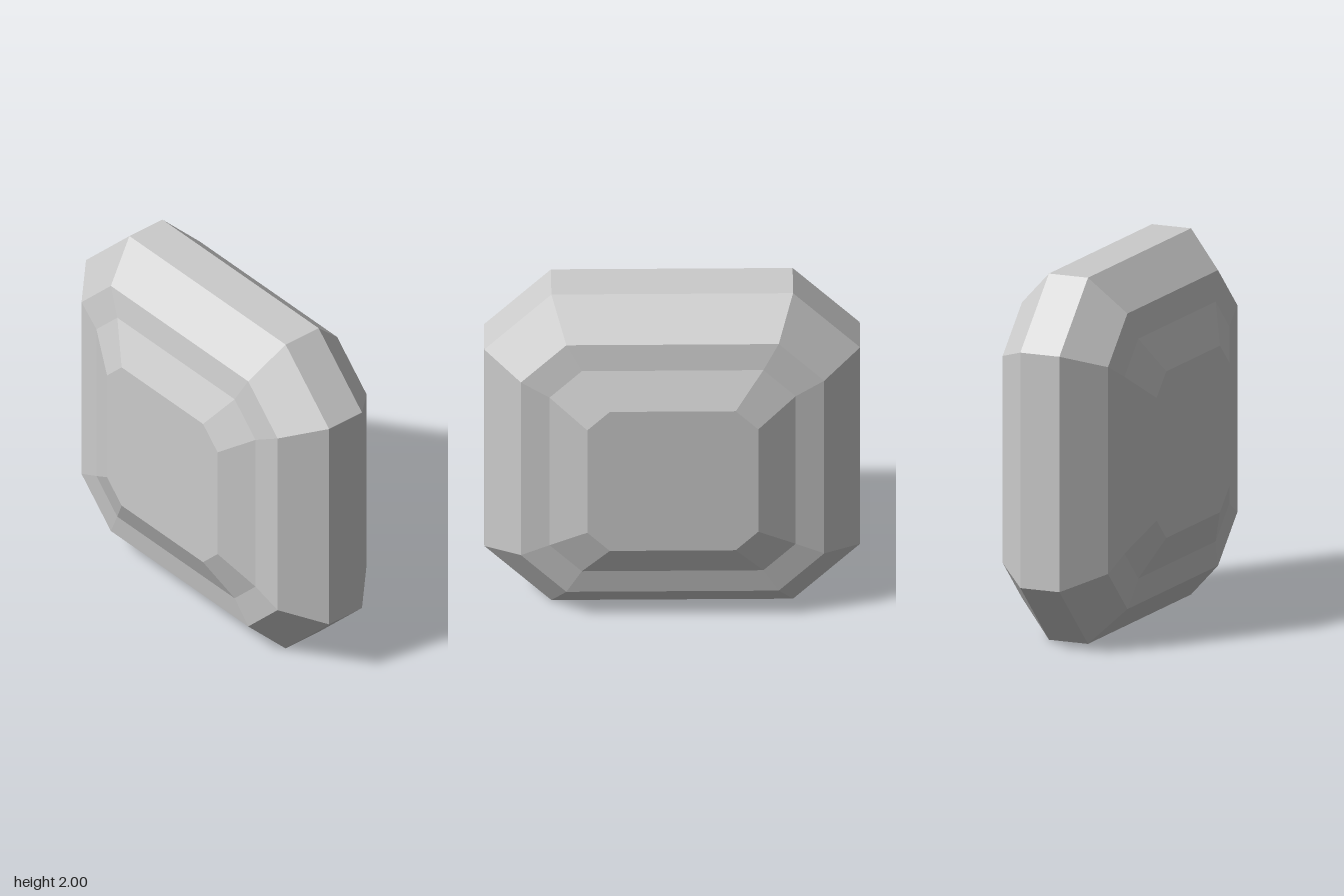
import * as THREE from 'three';

// Octagon with cut corners, counter-clockwise seen from +z: half width, half flat length, depth
function octagon([w, f, z]) {
  return [[w, -f], [w, f], [f, w], [-f, w], [-w, f], [-w, -f], [-f, -w], [f, -w]]
    .map(([x, y]) => [x, y + 1, z]);
}

// Band of facets from a rear octagon to the next one forward
function band(rear, front) {
  const a = octagon(rear), b = octagon(front), out = [];
  for (let i = 0; i < 8; i++) {
    const j = (i + 1) % 8;
    out.push(...a[i], ...a[j], ...b[j], ...a[i], ...b[j], ...b[i]);
  }
  return out;
}

// Flat octagonal face, looking forward or backward
function cap(ring, forward) {
  const p = octagon(ring), out = [];
  for (let i = 1; i < 7; i++) {
    out.push(...p[0], ...(forward ? p[i] : p[i + 1]), ...(forward ? p[i + 1] : p[i]));
  }
  return out;
}

export function createModel() {
  const group = new THREE.Group();
  group.name = 'cutGem';
  const material = new THREE.MeshStandardMaterial({ color: 0xcccccc, flatShading: true });

  const add = (name, positions) => {
    const geometry = new THREE.BufferGeometry();
    geometry.setAttribute('position', new THREE.Float32BufferAttribute(positions, 3));
    geometry.computeVertexNormals();
    const mesh = new THREE.Mesh(geometry, material);
    mesh.name = name;
    group.add(mesh);
  };

  // Rings from the girdle out to the flat table
  const rings = [
    [1, 0.643, 0.115],
    [0.807, 0.565, 0.31],
    [0.655, 0.483, 0.335],
    [0.455, 0.335, 0.43],
  ];
  const back = rings.map(([w, f, z]) => [w, f, -z]);
  const steps = ['Bevel', 'Shoulder', 'Crown'];

  // Straight band around the middle
  add('girdle', band(back[0], rings[0]));

  // Stepped facets, mirrored front and back
  steps.forEach((step, i) => {
    add('front' + step, band(rings[i], rings[i + 1]));
    add('back' + step, band(back[i + 1], back[i]));
  });

  // Flat tables
  add('frontTable', cap(rings[3], true));
  add('backTable', cap(back[3], false));

  return group;
}
